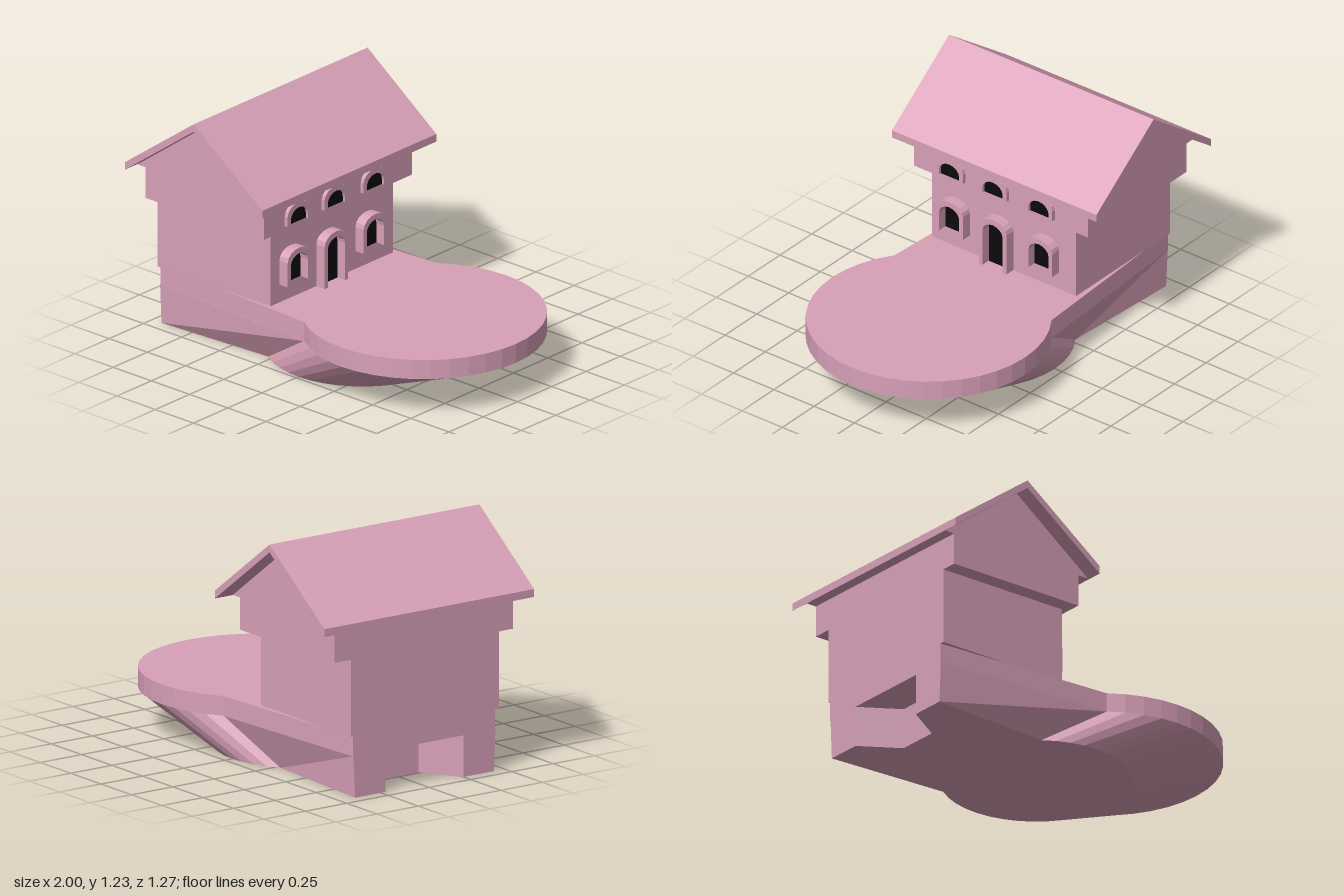
import * as THREE from 'three';

const pink = new THREE.MeshStandardMaterial({ color: 0xd8a0b8, flatShading: true });
const black = new THREE.MeshStandardMaterial({ color: 0x0a0a0a, side: THREE.DoubleSide });

function add(parent, name, geometry, material = pink) {
  const mesh = new THREE.Mesh(geometry, material);
  mesh.name = name;
  parent.add(mesh);
  return mesh;
}

// Box given by its minimum and maximum corners
function boxBetween(x0, y0, z0, x1, y1, z1) {
  return new THREE.BoxGeometry(x1 - x0, y1 - y0, z1 - z0)
    .translate((x0 + x1) / 2, (y0 + y1) / 2, (z0 + z1) / 2);
}

// Front profile (x, y) extruded from z0 to z1
function prism(points, z0, z1) {
  const shape = new THREE.Shape(points.map(([x, y]) => new THREE.Vector2(x, y)));
  return new THREE.ExtrudeGeometry(shape, { depth: z1 - z0, bevelEnabled: false }).translate(0, 0, z0);
}

// Keyhole plan: a strip at the back running into a round terrace (anticlockwise from above)
function planOutline(cx, radius, backHalf, notched) {
  const pts = [new THREE.Vector2(-0.94, -backHalf)];
  const limit = THREE.MathUtils.degToRad(125.7), n = 28;
  for (let i = 0; i <= n; i++) {
    const a = -limit + (2 * limit * i) / n;
    pts.push(new THREE.Vector2(cx + radius * Math.cos(a), radius * Math.sin(a)));
  }
  pts.push(new THREE.Vector2(-0.94, backHalf));
  if (notched) {
    for (const [x, v] of [[-0.94, 0.235], [-0.74, 0.11], [-0.74, -0.11], [-0.94, -0.235]]) {
      pts.push(new THREE.Vector2(x, v));
    }
  }
  return pts;
}

// Solid between two matching plan outlines
function loft(bottom, y0, top, y1) {
  const n = top.length, pos = [], index = [];
  for (const p of bottom) pos.push(p.x, y0, -p.y);
  for (const p of top) pos.push(p.x, y1, -p.y);
  for (let i = 0; i < n; i++) {
    const j = (i + 1) % n;
    index.push(i, j, n + j, i, n + j, n + i);
  }
  for (const [a, b, c] of THREE.ShapeUtils.triangulateShape(bottom, [])) index.push(a, c, b);
  for (const [a, b, c] of THREE.ShapeUtils.triangulateShape(top, [])) index.push(n + a, n + b, n + c);
  const g = new THREE.BufferGeometry();
  g.setAttribute('position', new THREE.Float32BufferAttribute(pos, 3));
  g.setIndex(index);
  const flat = g.toNonIndexed();
  flat.computeVertexNormals();
  return flat;
}

// Points over an arch, from its right foot to its left foot
function archPoints(half, y0, spring, rise) {
  const pts = [[half, y0]];
  for (let i = 0; i <= 8; i++) {
    const a = (Math.PI * i) / 8;
    pts.push([half * Math.cos(a), spring + rise * Math.sin(a)]);
  }
  pts.push([-half, y0]);
  return pts;
}

// Raised arch surround with a dark opening, facing +x
function archedOpening(name, z, y0, top, wallX) {
  const group = new THREE.Group();
  group.name = name;
  const outer = archPoints(0.085, y0, top - 0.057, 0.057);
  const inner = archPoints(0.0625, y0, top - 0.082, 0.052);
  add(group, 'archSurround', prism([...outer, ...inner.slice().reverse()], 0, -0.145 - wallX));
  const panel = new THREE.Shape(inner.map(([x, y]) => new THREE.Vector2(x, y)));
  add(group, 'darkOpening', new THREE.ShapeGeometry(panel).translate(0, 0, 0.006), black);
  group.rotation.y = Math.PI / 2;
  group.position.set(wallX, 0, z);
  return group;
}

export function createModel() {
  const model = new THREE.Group();
  model.name = 'houseOnTerrace';

  // Terrace slab and the sheared, tapering base below it
  const slab = planOutline(0.4, 0.6, 0.43, false);
  add(model, 'terraceSlab', loft(slab, 0.21, slab, 0.31)).position.z = 0.012;
  const base = loft(planOutline(0, 0.47, 0.42, true), 0, planOutline(0.4, 0.6, 0.43, true), 0.21);
  add(model, 'taperedBase', base).position.z = 0.015;

  // Two storeys, the upper one overhanging
  add(model, 'lowerStorey', boxBetween(-0.94, 0.31, -0.43, -0.2, 0.7, 0.465));
  add(model, 'upperStorey', boxBetween(-0.94, 0.7, -0.53, -0.165, 0.87, 0.55));

  // Gable filling and roof
  add(model, 'gable', prism([[-0.995, 0.862], [-0.105, 0.862], [-0.55, 1.19]], -0.53, 0.55));
  add(model, 'roof', prism(
    [[-1, 0.86], [-0.55, 1.19], [-0.1, 0.86], [-0.1, 0.9], [-0.55, 1.23], [-1, 0.9]], -0.635, 0.635));

  // Door with windows on each side and above
  [0.315, 0.045, -0.24].forEach((z, i) => {
    const isDoor = i === 1;
    model.add(archedOpening(isDoor ? 'door' : 'lowerWindow', z, isDoor ? 0.31 : 0.405, 0.59, -0.2));
    model.add(archedOpening('upperWindow', z, 0.725, 0.835, -0.165));
  });

  return model;
}
